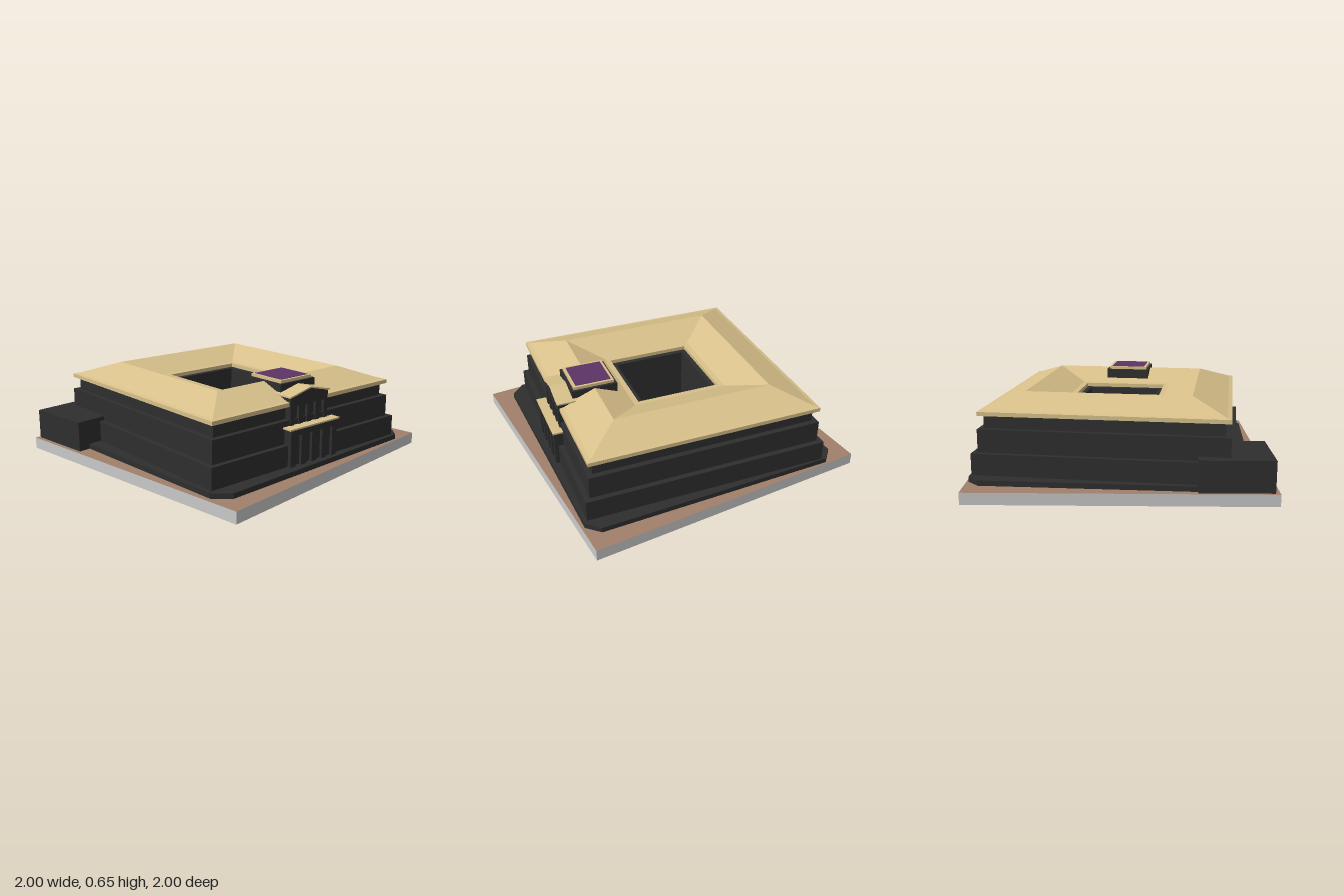
import * as THREE from 'three';

const mat = (name, color) => Object.assign(new THREE.MeshStandardMaterial({ color }), { name });

export function createModel() {
  const dark = mat('charcoal stone', 0x2e2e2e);
  const gold = mat('sand roof', 0xd8c08a);
  const brown = mat('brown ground', 0xa0806a);
  const grey = mat('light grey edge', 0xcacaca);
  const purple = mat('purple panel', 0x5c3566);

  const model = new THREE.Group();
  model.name = 'courtyardBuilding';
  const building = new THREE.Group();
  building.name = 'building';
  building.position.x = 0.018;
  building.rotation.y = -0.123;
  model.add(building);

  const add = (parent, name, geometry, material) => {
    const mesh = new THREE.Mesh(geometry, material);
    mesh.name = name;
    parent.add(mesh);
    return mesh;
  };
  // Box given by its minimum and maximum in each direction
  const box = (parent, name, material, x0, x1, y0, y1, z0, z1) => {
    const mesh = add(parent, name, new THREE.BoxGeometry(x1 - x0, y1 - y0, z1 - z0), material);
    mesh.position.set((x0 + x1) / 2, (y0 + y1) / 2, (z0 + z1) / 2);
    return mesh;
  };
  // Square ring swept from a profile of [half width, height]
  const squareRing = (name, material, profile) => {
    const points = profile.map(([h, y]) => new THREE.Vector2(h * Math.SQRT2, y));
    const geometry = new THREE.LatheGeometry(points, 4, Math.PI / 4).toNonIndexed();
    geometry.computeVertexNormals();
    return add(building, name, geometry, material);
  };
  // Front-facing outline extruded from z0 to z1
  const slab = (parent, name, material, outline, z0, z1) => {
    const shape = new THREE.Shape(outline.map(([x, y]) => new THREE.Vector2(x, y)));
    const geometry = new THREE.ExtrudeGeometry(shape, { depth: z1 - z0, bevelEnabled: false });
    return add(parent, name, geometry.translate(0, 0, z0), material);
  };

  // Ground slab, with grey edges
  box(model, 'groundSlab', [grey, grey, brown, brown, grey, grey], -1, 1, 0, 0.08, -1, 1);

  // Low plinth with cut corners, turned less than the building
  const plinth = slab(model, 'plinth', dark, [
    [-0.965, -0.76], [-0.87, -0.865], [0.78, -0.98], [0.87, -0.9],
    [0.985, 0.78], [0.91, 0.86], [0.3, 0.902], [0.3, 0.2], [-0.2, 0.2], [-0.2, 0.935],
    [-0.49, 0.955], [-0.86, 0.9], [-0.88, 0.5],
  ], 0, 0.035);
  // Cut the courtyard out of the plinth
  plinth.geometry.dispose();
  const plinthShape = new THREE.Shape([
    [-0.965, -0.76], [-0.87, -0.865], [0.78, -0.98], [0.87, -0.9],
    [0.985, 0.78], [0.91, 0.86], [-0.49, 0.955], [-0.86, 0.9],
  ].map(([x, y]) => new THREE.Vector2(x, y)));
  plinthShape.holes.push(new THREE.Path(
    [[-0.3, 0.4], [0.4, 0.32], [0.32, -0.4], [-0.37, -0.32]].map(([x, y]) => new THREE.Vector2(x, y))));
  plinth.geometry = new THREE.ExtrudeGeometry(plinthShape, { depth: 0.035, bevelEnabled: false });
  plinth.rotation.x = -Math.PI / 2;
  plinth.position.y = 0.08;

  // Annex at the back corner
  box(model, 'annex', dark, -0.97, -0.49, 0.08, 0.29, -0.98, -0.5);

  // Stepped walls around the courtyard
  squareRing('steppedWalls', dark, [
    [0.856, 0.08], [0.856, 0.26], [0.82, 0.26], [0.82, 0.415],
    [0.783, 0.415], [0.783, 0.508], [0.26, 0.508], [0.26, 0.08],
  ]);

  // Roof rising to a ridge and falling to the courtyard
  squareRing('roof', gold, [
    [0.78, 0.503], [0.818, 0.503], [0.818, 0.53], [0.79, 0.535], [0.56, 0.625],
    [0.335, 0.537], [0.297, 0.535], [0.297, 0.505],
  ]);

  // Row of pillars under a beam, in front of a recessed wall
  const colonnade = (name, half, y0, yBeam, y1, zBack, zFront) => {
    const group = new THREE.Group();
    group.name = name;
    building.add(group);
    box(group, 'recessedWall', dark, -half, half, y0, y1, zBack, zFront - 0.02);
    box(group, 'beam', dark, -half, half, yBeam, y1, zFront - 0.02, zFront);
    const opening = half * 0.24;
    const pillar = (half * 2 - opening * 4) / 5;
    for (let i = 0; i < 5; i++) {
      const x = -half + i * (pillar + opening);
      box(group, 'pillar', dark, x, x + pillar, y0, yBeam, zFront - 0.02, zFront);
    }
    return group;
  };

  // Entrance: wide lower storey, narrower upper storey with a gable
  const lower = colonnade('lowerPortico', 0.218, 0.115, 0.32, 0.365, 0.8, 0.882);
  box(lower, 'cornice', gold, -0.231, 0.231, 0.365, 0.376, 0.8, 0.892);
  const upper = colonnade('upperPortico', 0.175, 0.376, 0.5, 0.56, 0.72, 0.828);
  const gable = [[-0.187, 0.562], [-0.13, 0.573], [0, 0.604], [0.13, 0.573], [0.187, 0.562]];
  slab(upper, 'pediment', dark, [[-0.175, 0.55], [0.175, 0.55], ...gable.slice(1, 4).reverse()], 0.7, 0.828);
  const gableTop = gable.map(([x, y]) => [x, y + 0.01]).reverse();
  slab(upper, 'gableRoof', gold, [...gable, ...gableTop], 0.68, 0.836);

  // Rooftop block with a framed purple panel
  const block = new THREE.Group();
  block.name = 'rooftopBlock';
  block.position.z = 0.559;
  building.add(block);
  box(block, 'blockWalls', dark, -0.16, 0.16, 0.53, 0.63, -0.16, 0.16);
  box(block, 'blockFrame', gold, -0.143, 0.143, 0.63, 0.65, -0.143, 0.143);
  box(block, 'roofPanel', purple, -0.125, 0.125, 0.648, 0.653, -0.125, 0.125);

  return model;
}
